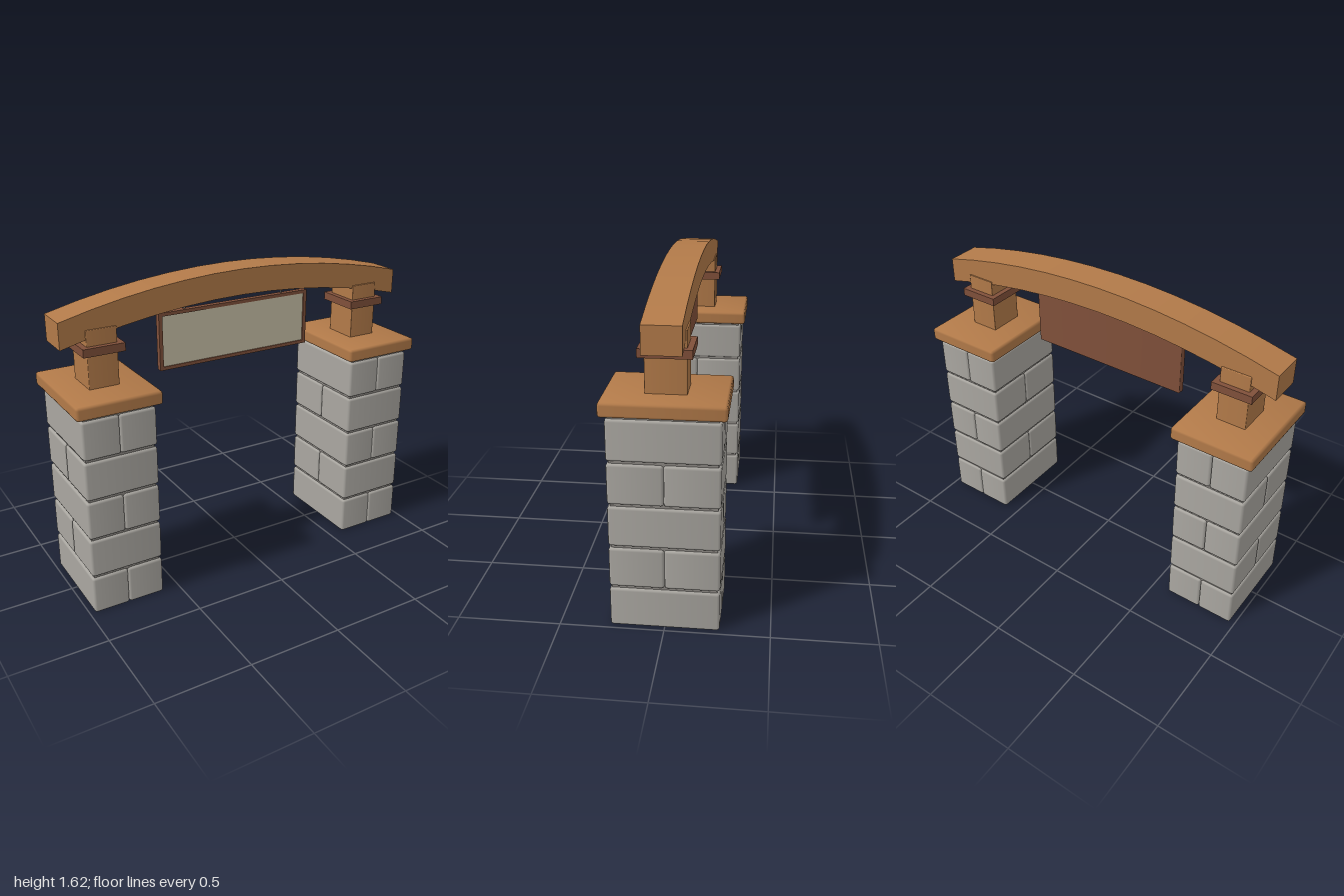
import * as THREE from 'three';
import { RoundedBoxGeometry } from 'three/addons/geometries/RoundedBoxGeometry.js';

const mat = (name, color, side = THREE.FrontSide) => {
  const m = new THREE.MeshStandardMaterial({ color, side });
  m.name = name;
  return m;
};

export function createModel() {
  const stone = mat('stone', 0xaaa7a1, THREE.DoubleSide);
  const mortar = mat('mortar', 0x8c8883);
  const wood = mat('wood', 0xb27a49);
  const darkWood = mat('darkWood', 0x80503a);
  const cream = mat('cream', 0xcac1a8);
  const iron = mat('iron', 0x66625e);

  const model = new THREE.Group();
  model.name = 'gateway';

  function add(parent, name, geometry, material, x, y, z) {
    const mesh = new THREE.Mesh(geometry, material);
    mesh.name = name;
    mesh.position.set(x, y, z);
    parent.add(mesh);
    return mesh;
  }

  // Chamfered box whose normals lean outward sideways for softly worn faces
  function softBox(w, h, d, r, lean = 0.2) {
    const g = new RoundedBoxGeometry(w, h, d, 1, r);
    const p = g.attributes.position, n = g.attributes.normal;
    const v = new THREE.Vector3();
    for (let i = 0; i < p.count; i++) {
      v.fromBufferAttribute(n, i);
      v.x += lean * Math.sign(p.getX(i));
      v.z += lean * Math.sign(p.getZ(i));
      v.normalize();
      n.setXYZ(i, v.x, v.y, v.z);
    }
    return g;
  }

  // Drop the downward face so the lowest blocks are hollow
  function openBottom(g) {
    const index = [];
    for (let i = 0; i < g.attributes.position.count; i++) {
      if (i < 162 || i >= 216) index.push(i);
    }
    g.setIndex(index);
    return g;
  }

  // One pillar with its cap, post and collar
  const W = 0.384, D = 0.52, pitch = 0.2135, H = 0.201;
  function pillar(x, name) {
    const g = new THREE.Group();
    g.name = name;
    g.position.x = x;
    for (let row = 0; row < 5; row++) {
      const y = row * pitch + 0.004 + H / 2;
      const splitX = row % 2 === 0;
      for (const s of [-1, 1]) {
        const geo = splitX ? softBox(W / 2, H, D, 0.013) : softBox(W, H, D / 2, 0.013);
        add(g, 'stoneBlock', row === 0 ? openBottom(geo) : geo, stone,
          splitX ? s * W / 4 : 0, y, splitX ? 0 : s * D / 4);
      }
      // Mortar bed above each course
      add(g, 'mortarBed', new THREE.BoxGeometry(W - 0.026, 0.03, D - 0.026), mortar,
        0, row * pitch + 0.2105, 0);
    }
    add(g, 'pillarCap', softBox(0.44, 0.07, 0.57, 0.014), wood, 0, 1.11, 0);
    add(g, 'post', softBox(0.157, 0.31, 0.192, 0.004, 0.12), wood, 0, 1.285, 0);
    add(g, 'collar', new THREE.BoxGeometry(0.215, 0.042, 0.246), darkWood, 0, 1.339, 0);
    model.add(g);
  }
  pillar(0.78, 'leftPillar');
  pillar(-0.78, 'rightPillar');

  // Arched top beam with upright ends
  const half = 0.987, steps = 12, rise = 0.128;
  const arch = (x, top) => new THREE.Vector2(x, top - rise * (x / half) ** 2);
  const outline = [];
  for (let i = 0; i <= steps; i++) outline.push(arch(-half + 2 * half * i / steps, 1.49));
  for (let i = steps; i >= 0; i--) outline.push(arch(-half + 2 * half * i / steps, 1.623));
  const beam = new THREE.ExtrudeGeometry(new THREE.Shape(outline), { depth: 0.178, bevelEnabled: false });
  add(model, 'archedBeam', beam, wood, 0, 0, -0.089);

  // Hanging sign: back board, raised rim and pale blank panel
  const sign = new THREE.Group();
  sign.name = 'hangingSign';
  sign.position.y = 1.288;
  model.add(sign);
  add(sign, 'signBoard', softBox(0.89, 0.302, 0.025, 0.004, 0.15), darkWood, 0, 0, -0.003);
  add(sign, 'signPanel', new THREE.BoxGeometry(0.856, 0.268, 0.006), cream, 0, 0, 0.01);
  for (const s of [-1, 1]) {
    add(sign, 'signRimSide', new THREE.BoxGeometry(0.02, 0.302, 0.014), darkWood, s * 0.435, 0, 0.012);
    add(sign, 'signRimEdge', new THREE.BoxGeometry(0.85, 0.018, 0.014), darkWood, 0, s * 0.142, 0.012);
    add(sign, 'hanger', new THREE.CylinderGeometry(0.006, 0.006, 0.08, 8), iron, s * 0.29, 0.175, 0);
  }
  return model;
}
